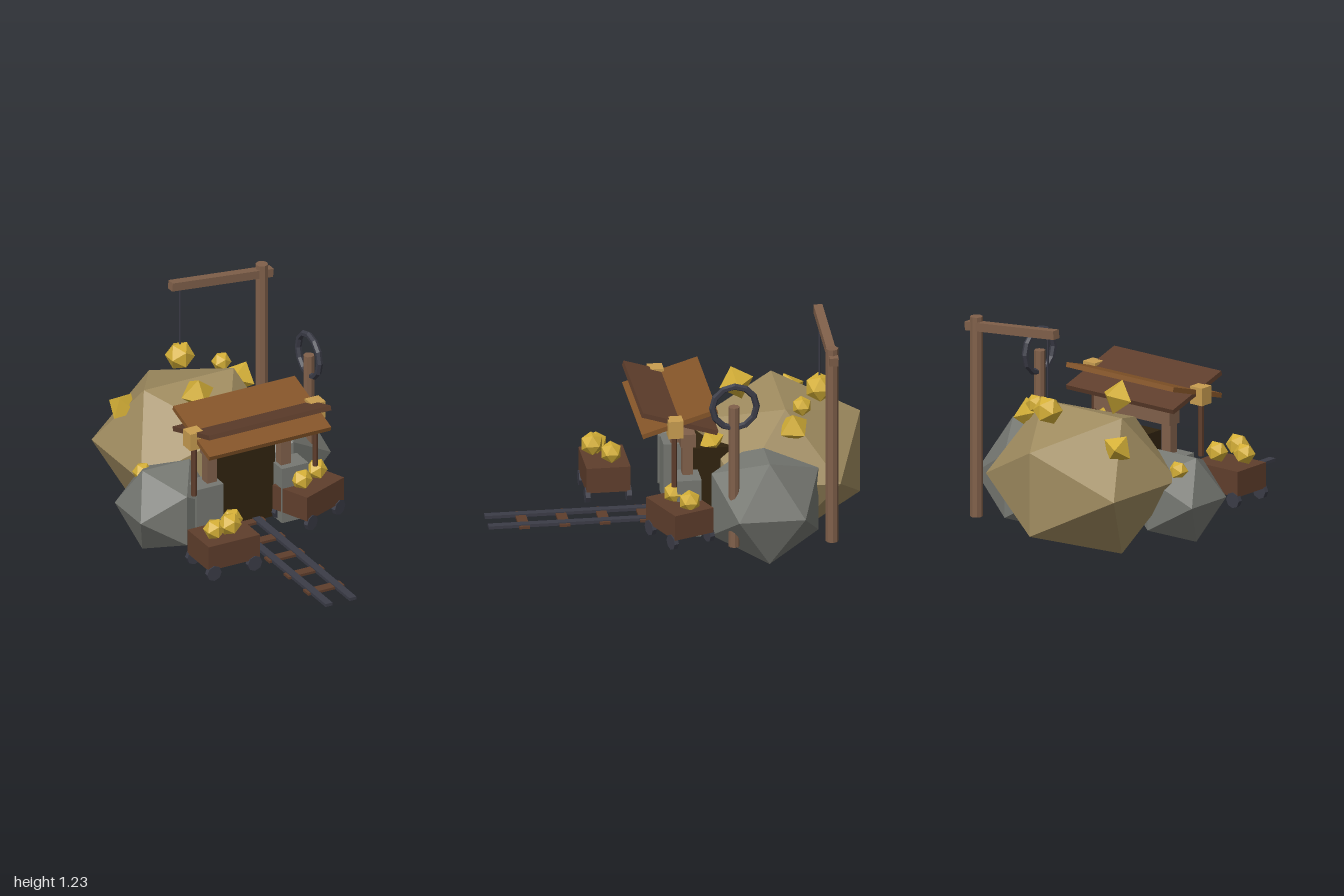
import * as THREE from 'three';

const mat = (name, color) => {
  const m = new THREE.MeshStandardMaterial({ color, flatShading: true });
  m.name = name;
  return m;
};

export function createModel() {
  const sand = mat('sandstone', 0xa08c60);
  const stone = mat('grey stone', 0x767872);
  const gold = mat('gold', 0xd4af37);
  const wood = mat('timber', 0x80604a);
  const plank = mat('orange plank', 0x855529);
  const brown = mat('dark brown wood', 0x5f3e2c);
  const lamp = mat('lantern', 0xc89d50);
  const iron = mat('iron', 0x3b3c47);
  const dark = mat('tunnel dark', 0x30230f);

  const model = new THREE.Group();
  model.name = 'goldMine';

  const add = (name, geo, material, pos, rot = [0, 0, 0], parent = model) => {
    const mesh = new THREE.Mesh(geo, material);
    mesh.name = name;
    mesh.position.set(...pos);
    mesh.rotation.set(...rot);
    parent.add(mesh);
    return mesh;
  };
  const box = (name, size, material, pos, rot, parent) =>
    add(name, new THREE.BoxGeometry(...size), material, pos, rot, parent);
  const rod = (name, r, y0, y1, x, z, material, sides = 8) =>
    add(name, new THREE.CylinderGeometry(r, r, y1 - y0, sides), material, [x, (y0 + y1) / 2, z]);
  const ico = (name, r, material, pos, parent) =>
    add(name, new THREE.IcosahedronGeometry(r), material, pos, [0, 0, 0], parent);

  // Boulders
  ico('mainBoulder', 0.514, sand, [-0.06, 0.378, -0.564]).scale.y = 0.852;
  ico('leftBoulder', 0.335, stone, [0.343, 0.287, -0.436]);
  ico('rightBoulder', 0.271, stone, [-0.396, 0.257, -0.2]);

  // Tunnel entrance
  box('tunnel', [0.37, 0.44, 0.27], dark, [0, 0.325, -0.2]);
  box('lintel', [0.516, 0.073, 0.08], wood, [0, 0.619, -0.04]);
  for (const s of [-1, 1]) {
    box('entrancePost', [0.06, 0.48, 0.056], wood, [s * 0.222, 0.345, -0.038]);
    box('entranceStone', [0.16, 0.32, 0.13], stone, [s * 0.255, 0.265, -0.035]);
    // Roof supports with lantern blocks
    rod('roofPost', 0.015, 0.41, 0.72, s * 0.365, 0.05, brown, 6);
    box('lantern', [0.082, 0.097, 0.08], lamp, [s * 0.366, 0.748, 0.047]);
  }

  // Two crossed roof slabs
  box('roofSlabLowFront', [0.732, 0.026, 0.42], plank, [0, 0.765, 0.02], [0.3, 0, 0]);
  box('roofSlabHighFront', [0.732, 0.026, 0.42], brown, [0, 0.765, 0.02], [-0.3, 0, 0]);

  // Track
  for (const s of [-1, 1]) box('rail', [0.042, 0.017, 1.1], iron, [s * 0.072, 0.117, 0.45]);
  for (let i = 0; i < 5; i++) {
    box('sleeper', [0.216, 0.014, 0.056], brown, [0, 0.113, 0.81 - i * 0.2145]);
  }

  // Ore carts
  const cart = (name, x, z, turn, wheelX) => {
    const g = new THREE.Group();
    g.name = name;
    g.position.set(x, 0, z);
    g.rotation.y = turn;
    model.add(g);
    box('cartBody', [0.308, 0.14, 0.235], brown, [0, 0.238, 0], [0, 0, 0], g);
    for (const sx of [-1, 1]) for (const sz of [-1, 1]) {
      add('cartWheel', new THREE.CylinderGeometry(0.043, 0.043, 0.026, 8), iron,
        [sx * wheelX, 0.147, sz * 0.11], [Math.PI / 2, 0, 0], g);
    }
  };
  cart('rightCart', -0.335, 0.322, 0, 0.122);
  cart('leftCart', 0.341, 0.018, 0.385, 0.115);

  // Ore in the carts and nuggets on the rocks: radius, x, y, z
  for (const [r, ...p] of [
    [0.06, -0.41, 0.36, 0.355], [0.06, -0.272, 0.36, 0.296], [0.064, -0.336, 0.388, 0.39],
    [0.06, 0.287, 0.343, 0.04], [0.06, 0.413, 0.343, -0.025],
    [0.054, 0.185, 0.755, -0.655], [0.054, -0.49, 0.43, -0.29],
  ]) ico('nugget', r, gold, p);

  // Octahedral gold crystals: radius, position, rotation
  for (const [r, p, q] of [
    [0.095, [-0.125, 0.78, -0.35], [0.3, 0, 0.1]],
    [0.085, [-0.395, 0.62, -0.68], [0.2, 0.5, 0.5]],
    [0.09, [0.27, 0.67, -0.6], [0.3, 0.5, -0.4]],
    [0.075, [0.135, 0.56, -0.18], [0.4, 0.2, 0]],
  ]) add('crystal', new THREE.OctahedronGeometry(r), gold, p, q);

  // Crane with hanging ore
  rod('cranePost', 0.034, 0.105, 1.205, 0.493, -0.772, wood);
  box('craneArm', [0.61, 0.047, 0.048], wood, [0.248, 1.177, -0.775], [0, 0, -0.1]);
  rod('craneRope', 0.005, 0.8, 1.19, 0.002, -0.775, iron, 6);
  ico('hangingOre', 0.08, gold, [0.002, 0.782, -0.775]);

  // Winding wheel on its post
  rod('wheelPost', 0.03, 0.105, 0.9, 0.49, -0.25, wood);
  add('windingWheel', new THREE.TorusGeometry(0.118, 0.018, 6, 12), iron,
    [0.492, 0.898, -0.252], [0, Math.PI / 2, 0]);

  return model;
}
